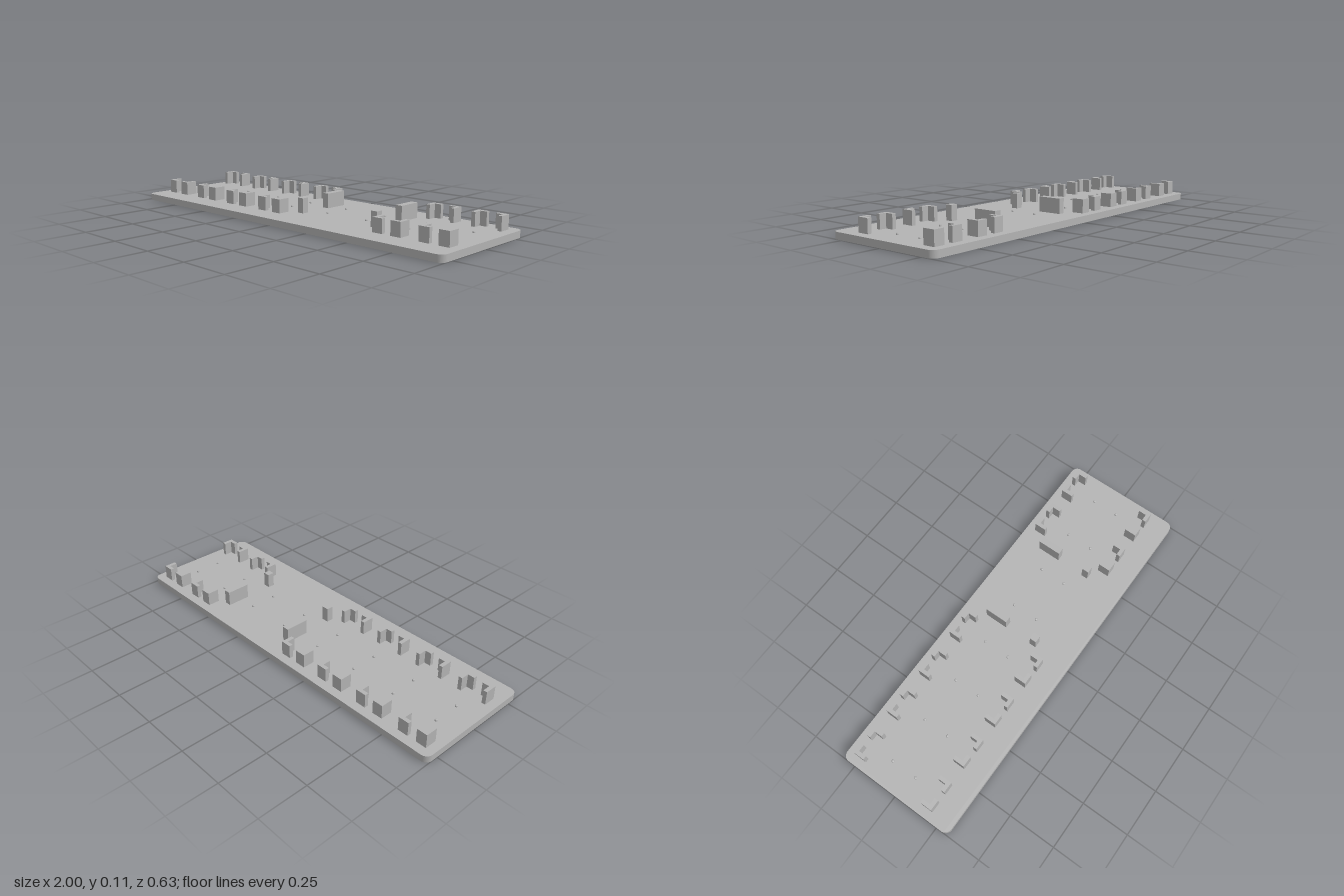
import * as THREE from 'three';

const PLATE_H = 0.034;

// Extrudes an outline drawn in (x, z) upward from y0 to y1.
function slab(points, y0, y1) {
  const shape = points instanceof THREE.Shape
    ? points
    : new THREE.Shape(points.map(([x, z]) => new THREE.Vector2(x, -z)));
  const geo = new THREE.ExtrudeGeometry(shape, { depth: y1 - y0, bevelEnabled: false, curveSegments: 8 });
  geo.rotateX(-Math.PI / 2);
  geo.translate(0, y0, 0);
  return geo;
}

function roundedRect(w, d, r) {
  const s = new THREE.Shape();
  const x = w / 2, y = d / 2;
  s.absarc(x - r, y - r, r, 0, Math.PI / 2);
  s.absarc(-x + r, y - r, r, Math.PI / 2, Math.PI);
  s.absarc(-x + r, -y + r, r, Math.PI, Math.PI * 1.5);
  s.absarc(x - r, -y + r, r, Math.PI * 1.5, Math.PI * 2);
  s.closePath();
  return s;
}

export function createModel() {
  const model = new THREE.Group();
  model.name = 'mountingPlate';
  const grey = new THREE.MeshStandardMaterial({ color: 0xb3b3b3 });
  grey.name = 'grey';

  const add = (name, geo, x = 0, y = 0, z = 0) => {
    const mesh = new THREE.Mesh(geo, grey);
    mesh.name = name;
    mesh.position.set(x, y, z);
    model.add(mesh);
  };

  // Base plate with rounded corners
  add('basePlate', slab(roundedRect(2, 0.632, 0.035), 0, PLATE_H));

  // L-shaped corner brackets; sx and sz point to the outer corner
  const bracket = (sx, sz) => {
    const w = 0.055, d = 0.062, t = 0.02;
    return slab(
      [[0, 0], [w, 0], [w, t], [t, t], [t, d], [0, d]].map(([x, z]) => [-sx * x, -sz * z]),
      PLATE_H - 0.002, 0.104);
  };
  for (const cx of [-0.877, -0.627, -0.377, -0.127, 0.623, 0.873]) {
    for (const sx of [-1, 1]) {
      add('backBracket', bracket(sx, -1), cx + sx * 0.078, 0, -0.271);
      add('frontBracket', bracket(sx, 1), cx + sx * 0.078, 0, 0.196);
    }
  }

  // Support posts: long at the back, square at the front
  for (const x of [0.018, 0.488]) {
    const h = 0.11 - PLATE_H + 0.002, y = 0.11 - h / 2;
    add('longPost', new THREE.BoxGeometry(0.036, h, 0.123), x, y, -0.1295);
    add('squarePost', new THREE.BoxGeometry(0.036, h, 0.036), x, y, 0.0975);
  }

  // Locating pegs with chamfered tops
  const pegGeo = new THREE.LatheGeometry(
    [[0.0068, -0.002], [0.0068, 0.005], [0.0048, 0.0075], [0, 0.0075]].map(([r, y]) => new THREE.Vector2(r, y)), 12);
  for (let i = 0; i < 8; i++) {
    for (const z of [-0.107, 0.032]) add('locatingPeg', pegGeo, -0.875 + 0.25 * i, PLATE_H, z);
  }

  return model;
}
